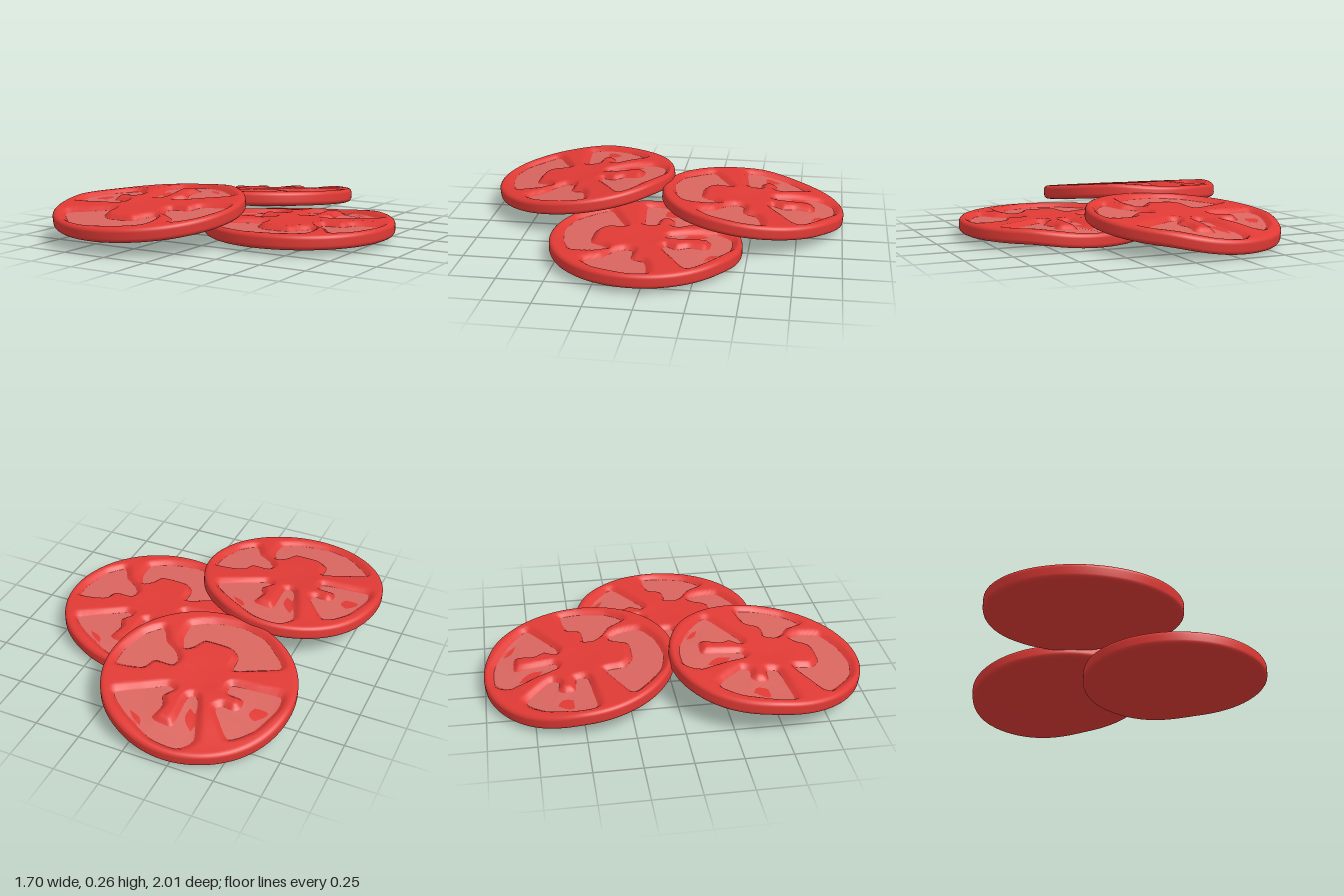
import * as THREE from 'three';
import { mergeVertices } from 'three/addons/utils/BufferGeometryUtils.js';

const R = 0.515, THICK = 0.08, DEPTH = 0.03;
const { smoothstep } = THREE.MathUtils;

// Seed pocket outlines on the slice face, as [x, z]
const pocketOutlines = [
  [[-0.14, -0.37], [-0.08, -0.455], [0.06, -0.455], [0.22, -0.38], [0.36, -0.267], [0.24, -0.18], [0.13, -0.11],
    [0.09, -0.12], [0.125, -0.18], [0.095, -0.24], [0.11, -0.33], [0.08, -0.35], [0, -0.35], [-0.01, -0.3],
    [0, -0.14], [-0.05, -0.13]],
  [[-0.29, -0.3], [-0.39, -0.2], [-0.445, -0.04], [-0.435, 0.055], [-0.3, 0.045], [-0.175, 0.03], [-0.175, -0.03],
    [-0.265, -0.04], [-0.275, -0.1], [-0.245, -0.13], [-0.185, -0.12], [-0.165, -0.165]],
  [[-0.36, 0.26], [-0.25, 0.19], [-0.135, 0.135], [-0.127, 0.225], [-0.085, 0.27], [-0.045, 0.285], [0.09, 0.28],
    [0.13, 0.21], [0.17, 0.18], [0.205, 0.25], [0.205, 0.36], [0.09, 0.425], [-0.07, 0.45], [-0.21, 0.41]],
  [[0.45, -0.065], [0.455, 0.04], [0.41, 0.19], [0.34, 0.27], [0.31, 0.24], [0.275, 0.185], [0.21, 0.145],
    [0.165, 0.09], [0.175, 0.04], [0.275, 0.035], [0.3, -0.03], [0.355, -0.055]],
];
const pockets = pocketOutlines.map((pts) =>
  new THREE.CatmullRomCurve3(pts.map(([x, z]) => new THREE.Vector3(x, 0, z)), true, 'catmullrom', 0.3)
    .getPoints(pts.length * 4).slice(0, -1));

// Signed distance to a pocket outline, negative inside
function pocketDistance(x, z, loop) {
  let best = Infinity, inside = false;
  loop.forEach((a, i) => {
    const b = loop[(i + 1) % loop.length];
    const dx = b.x - a.x, dz = b.z - a.z;
    const t = THREE.MathUtils.clamp(((x - a.x) * dx + (z - a.z) * dz) / (dx * dx + dz * dz + 1e-12), 0, 1);
    best = Math.min(best, Math.hypot(x - a.x - t * dx, z - a.z - t * dz));
    if ((a.z > z) !== (b.z > z) && x < a.x + ((z - a.z) / dz) * dx) inside = !inside;
  });
  return inside ? -best : best;
}

// One edge of each slice sags
const sag = (x, z) => -0.03 * smoothstep(-0.45 * x - 0.89 * z, 0.22, R);

// Rounded disc with the pockets pressed into its top
function fleshGeometry() {
  const profile = [];
  const add = (r, y) => profile.push(new THREE.Vector2(r, y));
  for (let i = 0; i <= 8; i++) add((i / 8) * (R - 0.03), 0);
  for (let i = 1; i <= 5; i++) {
    const a = (i / 5) * Math.PI / 2;
    add(R - 0.03 + 0.03 * Math.sin(a), 0.025 - 0.025 * Math.cos(a));
  }
  for (let i = 0; i <= 5; i++) {
    const a = (i / 5) * Math.PI / 2;
    add(R - 0.025 + 0.025 * Math.cos(a), THICK - 0.022 + 0.022 * Math.sin(a));
  }
  for (let i = 47; i >= 0; i--) add((i / 48) * (R - 0.025), THICK);

  let geo = new THREE.LatheGeometry(profile, 144);
  geo.deleteAttribute('uv');
  geo.deleteAttribute('normal');
  geo = mergeVertices(geo, 1e-5);
  const p = geo.attributes.position;
  for (let i = 0; i < p.count; i++) {
    const x = p.getX(i), z = p.getZ(i);
    let y = p.getY(i);
    if (y > THICK - 0.001) {
      const d = Math.min(...pockets.map((loop) => pocketDistance(x, z, loop)));
      y -= DEPTH * (1 - smoothstep(d, -0.012, 0.035));
      y -= 0.005 * (1 - smoothstep(Math.hypot(x, z), 0.03, 0.16));
    }
    p.setY(i, y + sag(x, z));
  }
  geo.computeVertexNormals();
  return geo;
}

// Thin sheet of gel lying in a pocket
function gelGeometry(loop) {
  const geo = new THREE.ShapeGeometry(new THREE.Shape(loop.map((v) => new THREE.Vector2(v.x, -v.z))));
  geo.rotateX(-Math.PI / 2);
  const p = geo.attributes.position;
  for (let i = 0; i < p.count; i++) p.setY(i, THICK - 0.0245 + sag(p.getX(i), p.getZ(i)));
  geo.computeVertexNormals();
  return geo;
}

export function createModel() {
  const model = new THREE.Group();
  model.name = 'tomatoSlices';
  const fleshMat = new THREE.MeshStandardMaterial({ color: 0xe03a35 });
  const gelMat = new THREE.MeshStandardMaterial({ color: 0xd9655f });
  const flesh = fleshGeometry();
  const gels = pockets.map(gelGeometry);

  // Position and slope along x and z of each slice
  const slices = [
    { name: 'bottomSlice', pos: [0.33, 0.03, 0.04], slopeX: 0, slopeZ: 0 },
    { name: 'backSlice', pos: [-0.19, 0.088, -0.488], slopeX: 0.045, slopeZ: 0.085 },
    { name: 'frontSlice', pos: [-0.335, 0.127, 0.487], slopeX: 0.01, slopeZ: -0.12 },
  ];
  for (const s of slices) {
    const slice = new THREE.Group();
    slice.name = s.name;
    const body = new THREE.Mesh(flesh, fleshMat);
    body.name = 'flesh';
    slice.add(body);
    gels.forEach((g) => {
      const gel = new THREE.Mesh(g, gelMat);
      gel.name = 'seedGel';
      slice.add(gel);
    });
    slice.position.set(...s.pos);
    slice.rotation.set(-s.slopeZ, 0, s.slopeX);
    model.add(slice);
  }
  return model;
}
